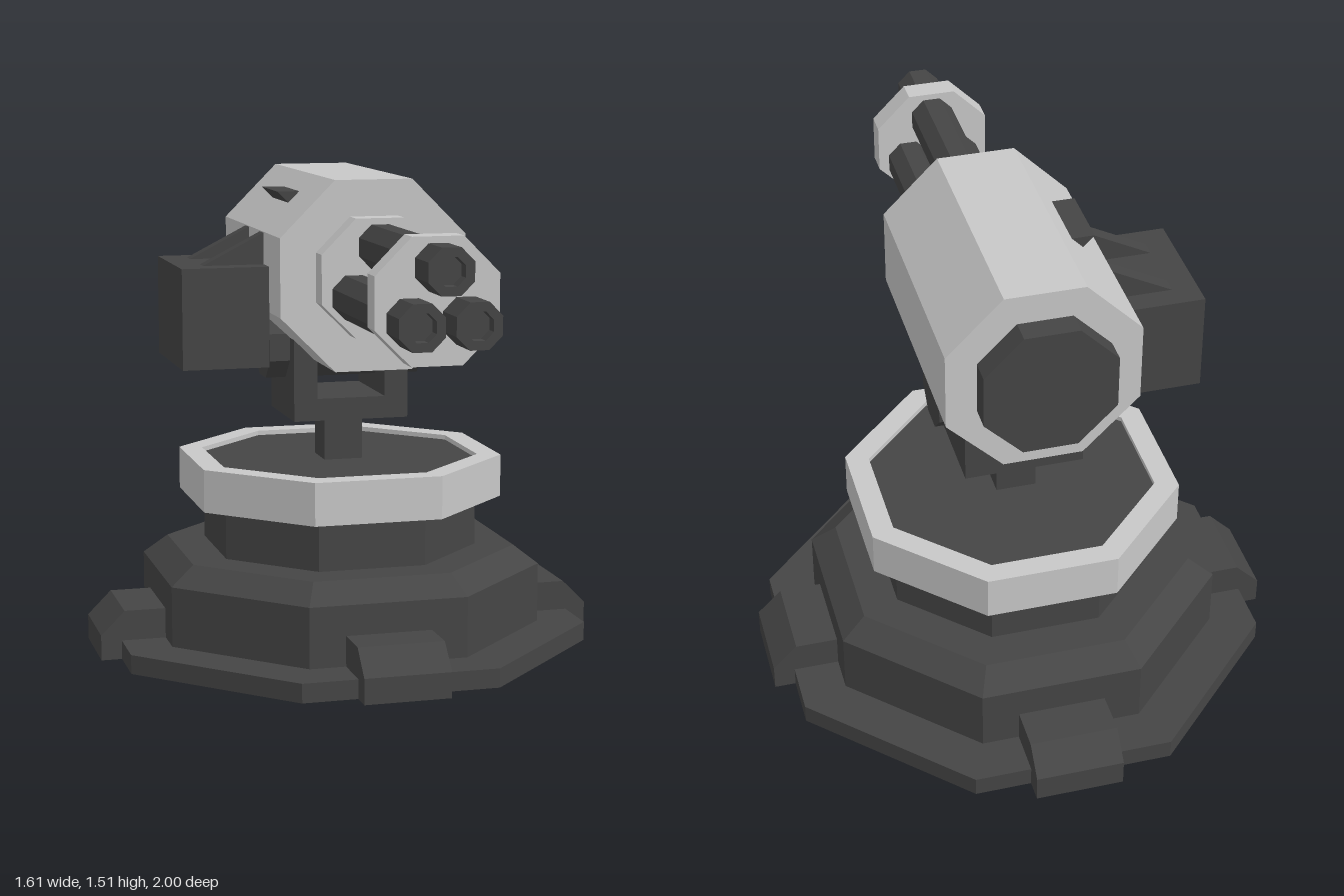
import * as THREE from 'three';

const light = new THREE.MeshStandardMaterial({ color: 0xc8c8c8 });
light.name = 'light grey';
const dark = new THREE.MeshStandardMaterial({ color: 0x454545 });
dark.name = 'dark grey';

const C = Math.cos(Math.PI / 8);
const CZ = -0.195; // axis of the pedestal

export function createModel() {
  const model = new THREE.Group();
  model.name = 'gunTurret';

  const add = (name, geometry, material, x = 0, y = 0, z = 0, parent = model) => {
    const g = geometry.index ? geometry.toNonIndexed() : geometry;
    g.computeVertexNormals();
    const mesh = new THREE.Mesh(g, material);
    mesh.name = name;
    mesh.position.set(x, y, z);
    parent.add(mesh);
    return mesh;
  };

  // Upright octagonal prism, sized by the distance to its flats
  const octagon = (top, bottom, h) =>
    new THREE.CylinderGeometry(top / C, bottom / C, h, 8).rotateY(Math.PI / 8);

  const octPoints = (r) => Array.from({ length: 8 }, (_, i) => {
    const a = (i + 0.5) * Math.PI / 4;
    return new THREE.Vector2(Math.cos(a) * r / C, Math.sin(a) * r / C);
  });

  // Octagonal tube along +z
  const octTube = (outer, inner, depth) => {
    const shape = new THREE.Shape(octPoints(outer));
    shape.holes.push(new THREE.Path(octPoints(inner)));
    return new THREE.ExtrudeGeometry(shape, { depth, bevelEnabled: false });
  };

  const prism = (points, depth) => new THREE.ExtrudeGeometry(
    new THREE.Shape(points.map(([x, y]) => new THREE.Vector2(x, y))),
    { depth, bevelEnabled: false });

  // Pedestal tiers: name, top radius, bottom radius, bottom y, top y
  [
    ['basePlate', 0.74, 0.74, 0, 0.06],
    ['lowerTier', 0.6, 0.6, 0.06, 0.25],
    ['lowerTierBevel', 0.525, 0.6, 0.25, 0.31],
    ['upperTier', 0.41, 0.41, 0.31, 0.47],
    ['turntable', 0.42, 0.42, 0.47, 0.59],
  ].forEach(([name, top, bottom, y0, y1]) =>
    add(name, octagon(top, bottom, y1 - y0), dark, 0, (y0 + y1) / 2, CZ));
  add('turntableRing', octTube(0.485, 0.415, 0.135).rotateX(-Math.PI / 2), light, 0, 0.47, CZ);

  // Four chamfered feet
  for (let i = 0; i < 4; i++) {
    const foot = new THREE.Group();
    foot.name = 'foot';
    foot.position.z = CZ;
    foot.rotation.y = i * Math.PI / 2;
    model.add(foot);
    add('footBlock', prism([[0.55, 0], [0.805, 0], [0.805, 0.08], [0.73, 0.155], [0.55, 0.155]], 0.27),
      dark, 0, 0, -0.135, foot);
  }

  // Neck, yoke and pivot
  add('neck', new THREE.BoxGeometry(0.125, 0.16, 0.125), dark, 0, 0.665, CZ);
  add('yoke', prism([[-0.185, 0.735], [0.185, 0.735], [0.185, 0.995], [0.11, 0.995],
    [0.11, 0.805], [-0.11, 0.805], [-0.11, 0.995], [-0.185, 0.995]], 0.315), dark, 0, 0, -0.352);
  add('pivot', octagon(0.104, 0.104, 0.5).rotateZ(Math.PI / 2), dark, 0, 0.965, CZ);

  // Gun housing
  const alongZ = (r, z0, z1) =>
    octagon(r, r, z1 - z0).rotateX(Math.PI / 2).translate(0, 0, (z0 + z1) / 2);
  add('housing', alongZ(0.29, -0.55, 0.225), light, 0, 1.22);
  add('rearCap', alongZ(0.198, -0.625, -0.55), dark, 0, 1.222);
  add('frontCollar', alongZ(0.18, 0.225, 0.295), light, 0, 1.22);
  add('barrelClamp', alongZ(0.18, 0.8, 0.875), light, 0, 1.22);

  // Three barrels with hollow muzzles
  [[0, 1.315], [-0.081, 1.165], [0.081, 1.165]].forEach(([x, y]) => {
    add('barrel', alongZ(0.066, 0.28, 0.96), dark, x, y);
    add('muzzle', octTube(0.066, 0.04, 0.04), dark, x, y, 0.96);
  });

  // Ammunition box with two feed brackets
  add('ammoBox', new THREE.BoxGeometry(0.27, 0.31, 0.4), dark, -0.425, 1.085, -0.122);
  [-0.25, -0.044].forEach((z) =>
    add('feedBracket', prism([[-0.48, 1.24], [-0.285, 1.24], [-0.285, 1.34]], 0.05), dark, 0, 0, z));

  // Sight block on the sloping shoulder
  add('sightBlock', prism([[-0.24, 1.46], [-0.2, 1.42], [-0.16, 1.44], [-0.17, 1.46]], 0.21),
    dark, 0, 0, -0.23);

  return model;
}
